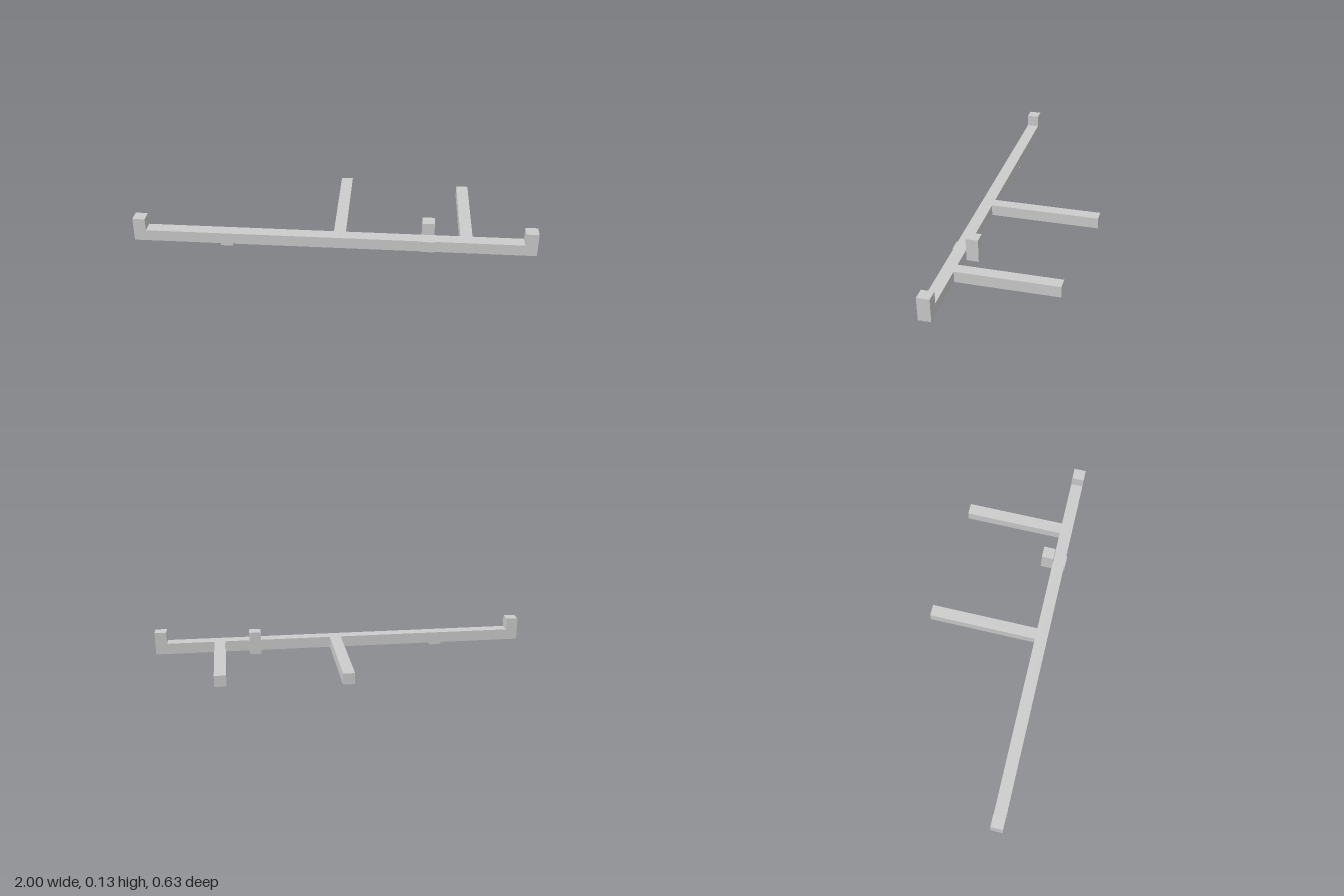
import * as THREE from 'three';

const material = new THREE.MeshStandardMaterial({ color: 0xcccccc, flatShading: true });

// Box given by its extents along each axis
function block(name, [x0, x1], [y0, y1], [z0, z1]) {
  const mesh = new THREE.Mesh(new THREE.BoxGeometry(x1 - x0, y1 - y0, z1 - z0), material);
  mesh.position.set((x0 + x1) / 2, (y0 + y1) / 2, (z0 + z1) / 2);
  mesh.name = name;
  return mesh;
}

export function createModel() {
  const model = new THREE.Group();
  model.name = 'branchedBeam';
  const barY = [0.012, 0.07], postY = [0.07, 0.133], barZ = [0.248, 0.311];

  // Long beam with an upright post at each end
  model.add(block('mainBeam', [-1, 1], barY, barZ));
  model.add(block('rightEndPost', [-1, -0.938], postY, barZ));
  model.add(block('leftEndPost', [0.938, 1], postY, barZ));

  // Two arms reaching backwards
  model.add(block('middleArm', [0, 0.06], barY, [-0.316, 0.248]));
  model.add(block('leftArm', [0.627, 0.687], barY, [-0.265, 0.248]));

  // Crosspiece through the beam, carrying a short post behind it
  model.add(block('crosspiece', [0.438, 0.499], barY, [0.186, 0.316]));
  model.add(block('rearPost', [0.438, 0.499], postY, [0.186, 0.248]));

  // Small foot below the beam
  model.add(block('foot', [-0.563, -0.502], [0, 0.012], barZ));
  return model;
}
